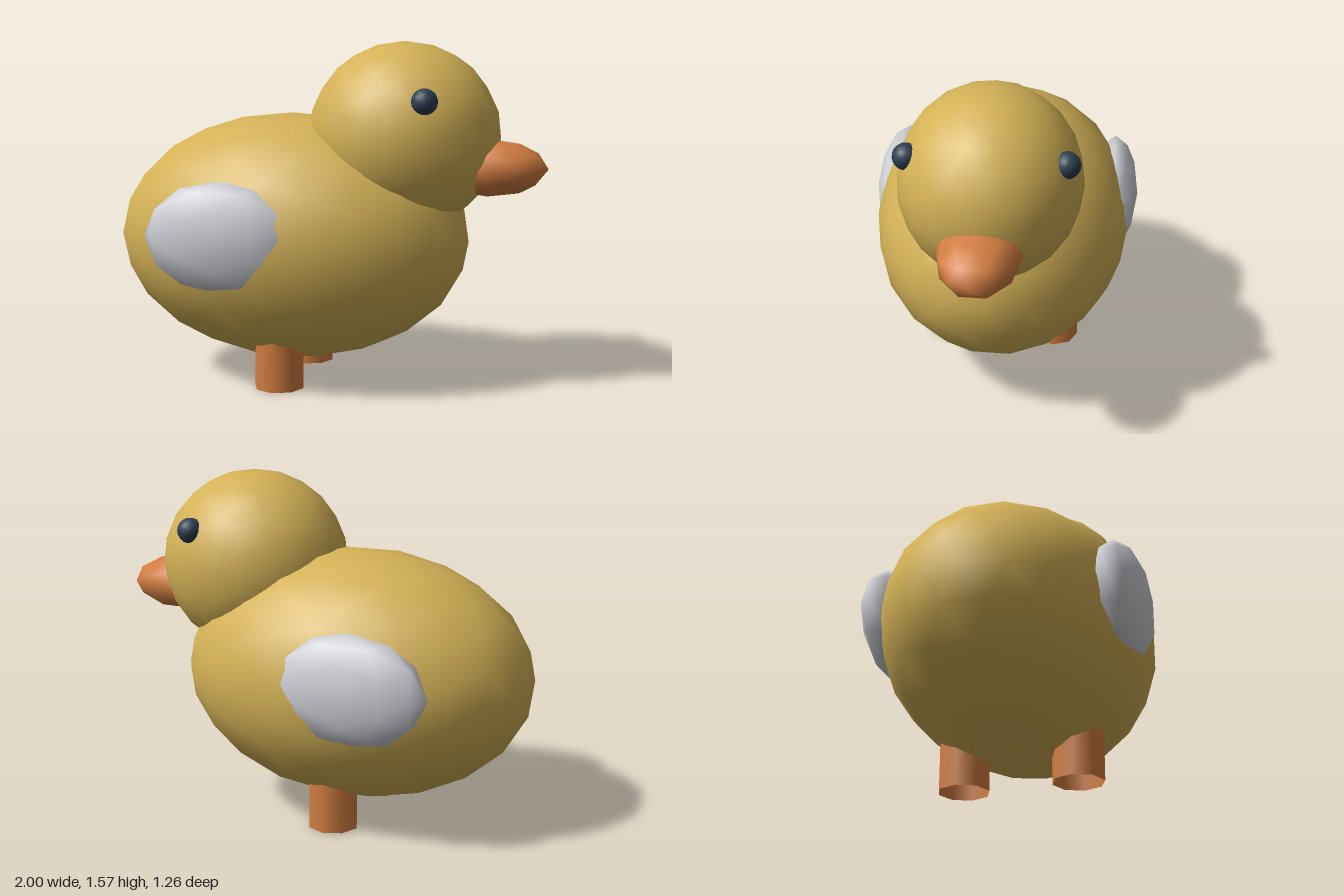
import * as THREE from 'three';

const mat = (name, color, side = THREE.FrontSide) => {
  const m = new THREE.MeshStandardMaterial({ color, side });
  m.name = name;
  return m;
};

export function createModel() {
  const yellow = mat('downYellow', 0xd3b156);
  const orange = mat('beakOrange', 0xd27d41, THREE.DoubleSide);
  const white = mat('wingGrey', 0xcfd0d6);
  const dark = mat('eyeDark', 0x2c3e50);

  const duck = new THREE.Group();
  duck.name = 'duckling';

  const add = (name, geometry, material, position) => {
    const mesh = new THREE.Mesh(geometry, material);
    mesh.name = name;
    mesh.position.set(...position);
    duck.add(mesh);
  };

  // Smooth ellipsoid made from a subdivided icosahedron
  const blob = (name, material, position, radii, detail) =>
    add(name, new THREE.IcosahedronGeometry(1, detail).scale(...radii), material, position);

  blob('body', yellow, [-0.175, 0.665, 0], [0.825, 0.57, 0.595], 3);
  blob('head', yellow, [0.35, 1.14, 0], [0.437, 0.425, 0.402], 3);
  blob('beak', orange, [0.73, 1.005, 0], [0.27, 0.13, 0.18], 1);

  // Paired parts, mirrored across the middle
  for (const [side, s] of [['near', 1], ['far', -1]]) {
    blob(side + 'Eye', dark, [0.504, 1.315, s * 0.333], [0.058, 0.058, 0.058], 2);
    blob(side + 'Wing', white, [-0.355, 0.72, s * 0.51], [0.355, 0.25, 0.12], 1);
    // Hollow leg, open at the bottom
    add(side + 'Leg', new THREE.CylinderGeometry(0.115, 0.115, 0.35, 8, 1, true),
      orange, [-0.17, 0.175, s * 0.255]);
  }
  return duck;
}
